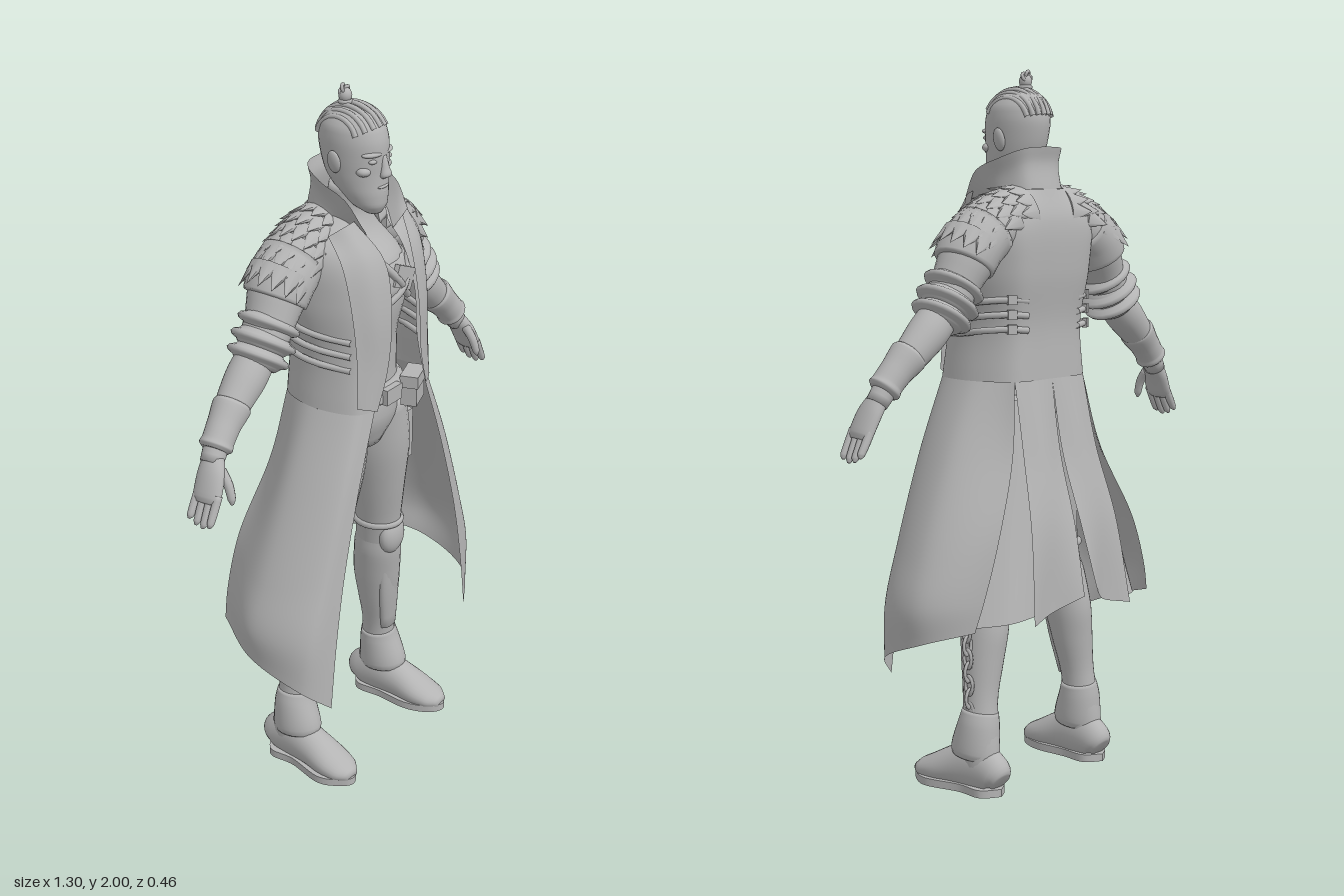
import * as THREE from 'three';

const V = (x, y, z) => new THREE.Vector3(x, y, z);
const cloth = new THREE.MeshStandardMaterial({ color: 0xb4b4b4, side: THREE.DoubleSide });
cloth.name = 'clay grey';

function part(parent, name, geo, pos) {
  const m = new THREE.Mesh(geo, cloth);
  m.name = name;
  if (pos) m.position.set(...pos);
  parent.add(m);
  return m;
}

function buildGeometry(pos, idx) {
  const g = new THREE.BufferGeometry();
  g.setAttribute('position', new THREE.Float32BufferAttribute(pos, 3));
  g.setIndex(idx);
  g.computeVertexNormals();
  return g;
}

// Smooth capped loft of ellipses; each point is [x, y, z, width radius, depth radius]
function loft(pts, { ref = V(0, 0, 1), axis = null, n = 24, sub = 4, floor = -9 } = {}) {
  const path = new THREE.CatmullRomCurve3(pts.map(p => V(p[0], p[1], p[2])));
  const radii = new THREE.CatmullRomCurve3(pts.map(p => V(p[3], p[4] ?? p[3], 0)));
  const steps = (pts.length - 1) * sub, pos = [], idx = [];
  for (let i = 0; i <= steps; i++) {
    const t = i / steps, c = path.getPoint(t), r = radii.getPoint(t);
    const dir = axis || path.getTangent(t);
    const side = dir.clone().cross(ref).normalize(), depth = side.clone().cross(dir).normalize();
    for (let j = 0; j < n; j++) {
      const a = j / n * Math.PI * 2;
      const p = c.clone().addScaledVector(side, Math.cos(a) * r.x).addScaledVector(depth, Math.sin(a) * r.y);
      pos.push(p.x, Math.max(floor, p.y), p.z);
      if (i < steps) {
        const k = i * n + j, l = i * n + (j + 1) % n;
        idx.push(k, k + n, l, l, k + n, l + n);
      }
    }
  }
  const b = pos.length / 3;
  pos.push(...pts[0].slice(0, 3), ...pts[pts.length - 1].slice(0, 3));
  for (let j = 0; j < n; j++) {
    const l = (j + 1) % n, o = steps * n;
    idx.push(b, j, l, b + 1, o + l, o + j);
  }
  return buildGeometry(pos, idx);
}

// Smooth sheet through rows of [x, y, z] points
function sheet(rows, nu = 24, nv = 24) {
  const cols = rows[0].map((_, c) => new THREE.CatmullRomCurve3(rows.map(r => V(...r[c]))));
  const pos = [], idx = [], w = nu + 1;
  for (let i = 0; i <= nv; i++) {
    const line = new THREE.CatmullRomCurve3(cols.map(c => c.getPoint(i / nv)));
    for (let j = 0; j <= nu; j++) {
      pos.push(...line.getPoint(j / nu).toArray());
      const k = i * w + j;
      if (i < nv && j < nu) idx.push(k, k + w, k + 1, k + 1, k + w, k + w + 1);
    }
  }
  return buildGeometry(pos, idx);
}
const wholeRow = r => r.concat(r.slice(0, -1).reverse().map(p => [-p[0], p[1], p[2]]));
const tube = (pts, r, n = 20) => new THREE.TubeGeometry(new THREE.CatmullRomCurve3(pts.map(p => V(...p))), n, r, 8);
const ball = (a, b, c) => new THREE.SphereGeometry(1, 20, 14).scale(a, b, c);
const UP = V(0, 1, 0);

function buildHead(g) {
  part(g, 'head', loft([[0, 1.662, .115, .022, .022], [0, 1.685, .1, .046, .05], [0, 1.72, .08, .061, .072],
    [0, 1.76, .062, .07, .088], [0, 1.8, .055, .075, .096], [0, 1.85, .05, .079, .1],
    [0, 1.89, .047, .076, .092], [0, 1.925, .043, .055, .066], [0, 1.942, .04, .018, .02]], { axis: UP, n: 32 }));
  part(g, 'nose', loft([[0, 1.822, .142, .01, .01], [0, 1.79, .15, .013, .012], [0, 1.77, .153, .018, .015], [0, 1.76, .145, .01, .008]], { axis: UP }));
  part(g, 'upperLip', ball(.025, .006, .012), [0, 1.738, .142]);
  part(g, 'lowerLip', ball(.021, .007, .012), [0, 1.725, .14]);
  part(g, 'chin', ball(.024, .02, .02), [0, 1.688, .128]);
  for (const s of [-1, 1]) {
    part(g, 'brow', ball(.03, .008, .015), [s * .033, 1.828, .132]).rotation.y = s * .45;
    part(g, 'eye', ball(.014, .007, .01), [s * .033, 1.81, .135]);
    part(g, 'cheekbone', ball(.022, .014, .02), [s * .045, 1.783, .115]);
    part(g, 'ear', ball(.01, .032, .02), [s * .08, 1.805, .045]).rotation.z = -s * .2;
  }
  // Braided rows sweeping back to a topknot
  for (let k = -3; k <= 3; k++) {
    const a = k * .3, pts = [];
    for (let i = 0; i <= 8; i++) {
      const e = .5 + i * .3, spread = Math.sin(a) * (1 - .03 * i);
      const w = Math.sqrt(1 - spread * spread);
      pts.push([.08 * spread, 1.848 + .095 * w * Math.sin(e), .047 + .1 * w * Math.cos(e)]);
    }
    part(g, 'braid', tube(pts, .008));
  }
  part(g, 'topknot', ball(.018, .02, .018), [-.01, 1.963, .03]);
  part(g, 'topknotBand', new THREE.TorusGeometry(.014, .006, 8, 16).rotateX(Math.PI / 2), [-.01, 1.947, .03]);
  part(g, 'topknotTuft', new THREE.TorusKnotGeometry(.011, .005, 40, 6), [-.01, 1.975, .026]);
}

function buildBody(g) {
  part(g, 'torso', loft([[0, .98, .05, .08, .08], [0, 1.08, .055, .155, .11], [0, 1.2, .06, .132, .1], [0, 1.3, .062, .13, .1],
    [0, 1.42, .062, .155, .12], [0, 1.52, .055, .15, .118], [0, 1.6, .035, .1, .075], [0, 1.66, .03, .06, .06], [0, 1.73, .04, .055, .058]],
    { axis: UP, n: 32 }));
  for (const s of [-1, 1]) part(g, 'pectoral', ball(.07, .05, .03), [s * .06, 1.48, .15]);
  part(g, 'chestWrap', loft([[0, 1.43, .064, .15, .124], [0, 1.46, .064, .157, .132], [0, 1.5, .062, .155, .13], [0, 1.525, .06, .148, .12]], { axis: UP, n: 32 }));
  part(g, 'chestStrap', tube([[-.09, 1.62, .1], [-.06, 1.56, .165], [0, 1.49, .195], [.07, 1.42, .18]], .011));
  part(g, 'chestStrap', tube([[.09, 1.53, .165], [.03, 1.46, .196], [-.06, 1.41, .18]], .01));
  part(g, 'chestPlate', new THREE.BoxGeometry(.08, .06, .015), [.03, 1.485, .192]).rotation.z = -.4;
  part(g, 'belt', loft([[0, 1.125, .057, .152, .116], [0, 1.135, .057, .16, .124], [0, 1.165, .058, .152, .12], [0, 1.178, .058, .142, .11]], { axis: UP, n: 32 }));
  part(g, 'buckle', new THREE.BoxGeometry(.07, .045, .02), [0, 1.15, .182]);
  part(g, 'beltPouch', new THREE.BoxGeometry(.085, .085, .045), [.11, 1.13, .175]).rotation.y = .35;
  part(g, 'pouchFlap', new THREE.BoxGeometry(.092, .035, .052), [.11, 1.16, .176]).rotation.y = .35;
  part(g, 'hangingStrap', new THREE.BoxGeometry(.03, .12, .012), [-.11, 1.12, .165]).rotation.z = -.3;
  part(g, 'thighPouch', new THREE.BoxGeometry(.05, .15, .08), [.2, .92, .06]);
  // Chain beside the left calf
  for (let i = 0; i < 8; i++) {
    part(g, 'chainLink', new THREE.TorusGeometry(.014, .005, 6, 14).scale(1, 1.7, 1), [.262 - i * .002, .5 - i * .038, 0]).rotation.y = i % 2 * 1.57;
  }
}

function buildLeg(g) {
  part(g, 'trouserLeg', loft([[.08, 1.1, .058, .08, .1], [.107, .95, .05, .092, .105], [.125, .8, .045, .075, .088], [.143, .68, .04, .064, .07],
    [.152, .6, .032, .06, .066], [.172, .48, .018, .062, .068]]));
  part(g, 'bootShaft', loft([[.148, .62, .035, .056, .062], [.16, .55, .027, .066, .072], [.174, .46, .015, .064, .072], [.188, .37, .01, .058, .062],
    [.205, .25, .002, .047, .05], [.215, .12, -.008, .05, .058], [.217, .06, -.01, .045, .055]]));
  part(g, 'kneePad', ball(.05, .06, .03), [.148, .61, .085]);
  part(g, 'kneeStrap', new THREE.TorusGeometry(.062, .011, 8, 24).scale(1, 1.08, 1).rotateX(Math.PI / 2), [.146, .655, .037]);
  part(g, 'shinGuard', loft([[.157, .55, .068, .04, .022], [.175, .42, .058, .043, .022], [.2, .26, .04, .032, .018]]));
  part(g, 'ankleGuard', loft([[.207, .23, .0, .05, .053], [.212, .19, .002, .057, .062], [.216, .12, .012, .06, .075], [.217, .1, .014, .055, .07]]));
  part(g, 'footUpper', loft([[.213, .04, -.083, .03, .03], [.213, .055, -.065, .045, .055], [.215, .07, 0, .05, .075], [.22, .06, .07, .053, .06],
    [.225, .042, .14, .058, .044], [.229, .032, .19, .05, .03], [.231, .025, .222, .022, .015]], { ref: UP, floor: .008 }));
  const outline = new THREE.Shape();
  outline.moveTo(.215, .088);
  outline.splineThru([[.265, .05], [.265, -.03], [.29, -.14], [.262, -.205], [.23, -.227], [.19, -.2], [.165, -.13], [.17, -.03], [.168, .05], [.215, .088]]
    .map(p => new THREE.Vector2(...p)));
  part(g, 'sole', new THREE.ExtrudeGeometry(outline, { depth: .022, bevelEnabled: false, curveSegments: 40 }).rotateX(-Math.PI / 2));
}

function buildArm(g) {
  part(g, 'sleeve', loft([[.13, 1.575, -.005, .07, .08], [.2, 1.55, -.005, .08, .09], [.255, 1.49, -.005, .073, .085],
    [.3, 1.42, 0, .062, .07], [.335, 1.365, 0, .062, .066]]));
  part(g, 'shoulderCap', loft([[.19, 1.56, -.005, .085, .092], [.24, 1.52, -.005, .083, .095], [.27, 1.475, -.005, .08, .09], [.272, 1.472, -.005, .06, .07]]));
  for (const [x, y, r] of [[.303, 1.415, .066], [.327, 1.375, .07], [.35, 1.34, .066]]) {
    part(g, 'rolledCuff', loft([[x - .015, y + .022, 0, r - .012], [x - .008, y + .012, 0, r], [x + .008, y - .012, 0, r], [x + .015, y - .022, 0, r - .012]]));
  }
  part(g, 'forearm', loft([[.34, 1.36, 0, .05], [.395, 1.305, 0, .055, .056], [.455, 1.25, .002, .048], [.52, 1.19, .01, .035, .037], [.57, 1.125, .018, .028, .032]]));
  part(g, 'bracer', loft([[.46, 1.25, .004, .047], [.468, 1.242, .005, .052], [.505, 1.207, .009, .045], [.535, 1.175, .013, .043], [.545, 1.163, .014, .046], [.552, 1.155, .015, .036]]));
  part(g, 'palm', loft([[.56, 1.14, .018, .025, .03], [.585, 1.1, .028, .023, .042], [.61, 1.05, .034, .019, .044], [.617, 1.035, .035, .012, .036]]));
  for (let i = 0; i < 4; i++) {
    const z = .002 + i * .022, len = [.85, 1, 1.05, .95][i];
    part(g, 'finger', loft([[.605, 1.06, z, .012], [.627, 1.06 - .045 * len, z, .0115], [.64, 1.06 - .07 * len, z, .01], [.645, 1.06 - .08 * len, z - .002, .004]], { n: 10 }));
  }
  part(g, 'thumb', loft([[.57, 1.115, .05, .014], [.572, 1.08, .075, .013], [.575, 1.045, .087, .011], [.577, 1.03, .09, .004]], { n: 10 }));
  // Overlapping shoulder scales
  for (let i = 0; i < 6; i++) for (let j = -3; j <= 3; j++) {
    const t = i / 5, tilt = .12 + .72 * t, th = j * .4 + (i % 2) * .2 - .1;
    const n = V(Math.sin(tilt) * Math.cos(th), Math.cos(tilt) * Math.cos(th), Math.sin(th));
    const d = V(Math.cos(tilt), -Math.sin(tilt), 0).addScaledVector(n, .22).normalize();
    const across = d.clone().cross(n).normalize(), out = across.clone().cross(d);
    const p = V(.105 + .15 * t, 1.585 - .055 * t - .03 * t * t, -.005).addScaledVector(n, .09);
    const m = new THREE.Matrix4().makeBasis(across, d, out).setPosition(p);
    part(g, 'shoulderScale', new THREE.ConeGeometry(.034, .075, 8).scale(1, 1, .35).applyMatrix4(m));
  }
}

// Columns run front edge, front corner, side, rear side, back centre
const waist = [[.12, 1.15, .21], [.17, 1.15, .18], [.195, 1.15, .05], [.14, 1.15, -.07], [0, 1.15, -.08]];
const coatRows = [
  [[.06, 1.62, .12], [.08, 1.655, .09], [.1, 1.665, .02], [.08, 1.67, -.05], [0, 1.67, -.065]],
  [[.06, 1.56, .17], [.14, 1.58, .14], [.2, 1.59, 0], [.14, 1.585, -.09], [0, 1.585, -.095]],
  [[.065, 1.45, .205], [.15, 1.45, .17], [.2, 1.45, .01], [.14, 1.45, -.09], [0, 1.45, -.095]],
  [[.08, 1.3, .207], [.15, 1.3, .175], [.18, 1.3, .05], [.13, 1.3, -.068], [0, 1.3, -.076]], waist];

function buildCoatSide(g) {
  part(g, 'coatSidePanel', sheet([waist.slice(0, 4),
    [[.195, .95, .215], [.25, .95, .19], [.285, .95, .04], [.18, .95, -.1]],
    [[.27, .7, .22], [.34, .7, .19], [.395, .68, .03], [.28, .73, -.14]],
    [[.31, .5, .223], [.395, .53, .185], [.435, .55, .02], [.335, .58, -.14]],
    [[.335, .32, .225], [.41, .39, .17], [.428, .455, .01], [.36, .5, -.13]]], 30, 30));
  part(g, 'coatTail', sheet([[waist[3], [.07, 1.15, -.081], waist[4]],
    [[.15, .95, -.112], [.08, .95, -.128], [.004, .95, -.115]],
    [[.175, .75, -.165], [.1, .75, -.172], [.012, .75, -.178]],
    [[.2, .5, -.2], [.11, .52, -.182], [.028, .56, -.228]]]));
  part(g, 'coatPleat', sheet([[[.17, 1.1, -.03], [.15, 1.1, -.055], [.09, 1.1, -.07]],
    [[.24, .85, -.06], [.18, .85, -.1], [.1, .85, -.125]],
    [[.35, .5, -.08], [.25, .51, -.16], [.14, .52, -.17]]]));
  part(g, 'lapel', sheet([[[.1, 1.665, .125], [.135, 1.655, .115], [.165, 1.635, .09]], [[.06, 1.56, .195], [.12, 1.565, .18], [.175, 1.57, .14]],
    [[.062, 1.42, .222], [.12, 1.43, .208], [.17, 1.44, .17]], [[.078, 1.26, .222], [.12, 1.27, .212], [.165, 1.28, .185]],
    [[.115, 1.15, .216], [.14, 1.16, .209], [.17, 1.17, .188]]]));
  for (const y of [1.29, 1.33, 1.37]) {
    part(g, 'sideStrap', tube([[.1, y, -.082], [.15, y + .005, -.065], [.188, y, 0], [.187, y - .01, .07], [.16, y - .02, .16]], .009));
    part(g, 'strapBuckle', new THREE.BoxGeometry(.025, .026, .014), [.15, y + .005, -.07]).rotation.y = -.5;
  }
}

export function createModel() {
  const model = new THREE.Group();
  model.name = 'longCoatFigure';
  const add = (name, build, mirror) => {
    const g = new THREE.Group();
    g.name = name;
    build(g);
    if (mirror) g.scale.x = -1;
    model.add(g);
  };
  add('headGroup', buildHead);
  add('bodyGroup', buildBody);
  add('coatBody', g => {
    part(g, 'coatBodice', sheet(coatRows.map(wholeRow), 64, 28));
    part(g, 'collar', sheet([
      [[.06, 1.6, .135], [.085, 1.65, .085], [.095, 1.66, .02], [.07, 1.67, -.05], [0, 1.67, -.066]],
      [[.08, 1.63, .15], [.1, 1.685, .1], [.095, 1.71, .02], [.068, 1.735, -.04], [0, 1.74, -.052]],
      [[.1, 1.65, .155], [.112, 1.72, .105], [.108, 1.755, .02], [.075, 1.78, -.045], [0, 1.785, -.06]]].map(wholeRow), 48, 10));
  });
  for (const [side, mirror] of [['left', false], ['right', true]]) {
    add(side + 'Leg', buildLeg, mirror);
    add(side + 'Arm', buildArm, mirror);
    add(side + 'CoatSkirt', buildCoatSide, mirror);
  }
  return model;
}
